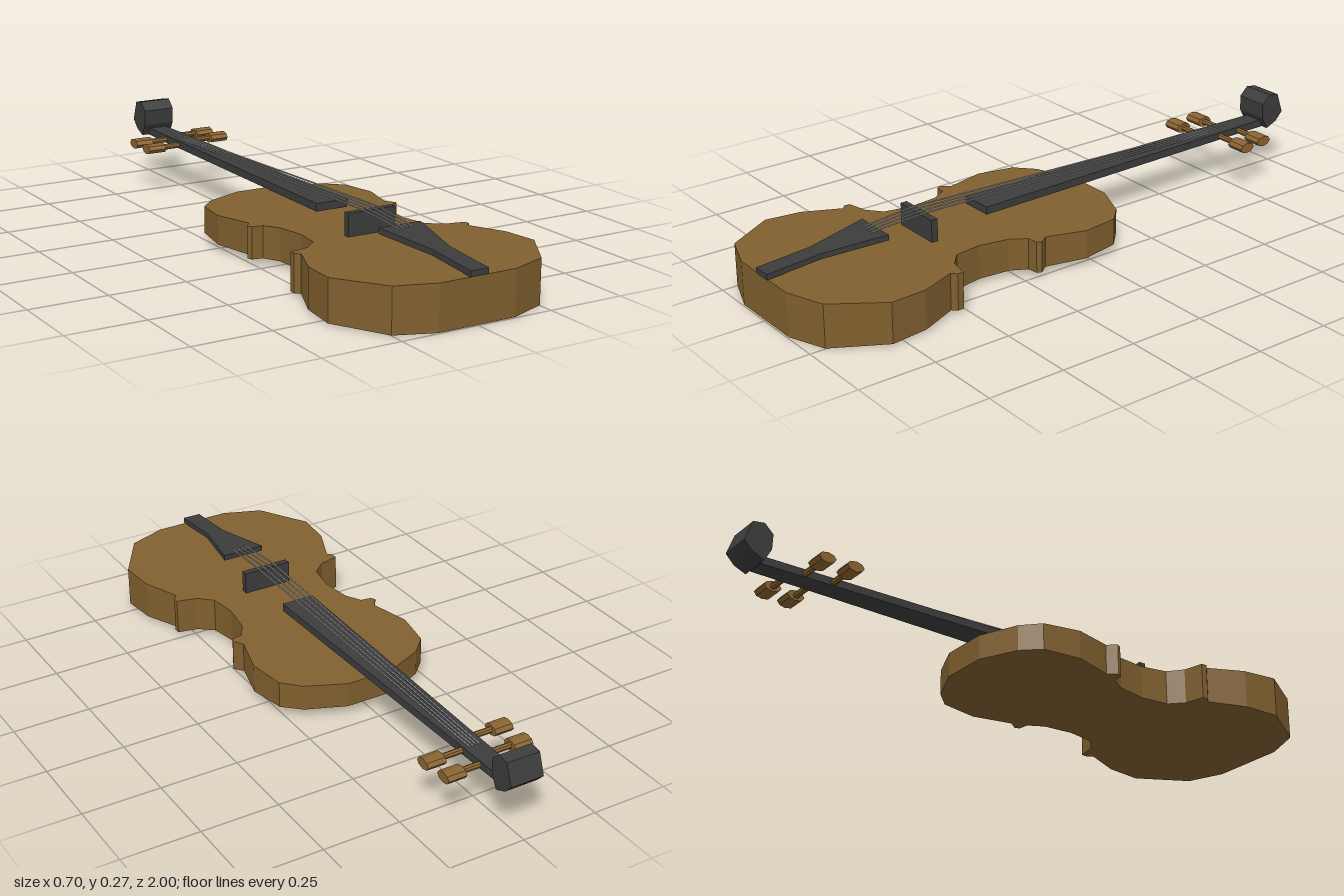
import * as THREE from 'three';

const mat = (color) => new THREE.MeshStandardMaterial({ color, flatShading: true });
const wood = mat(0x80602f);
const pegWood = mat(0x8a6330);
const ebony = mat(0x3c3c3c);
const steel = mat(0xaaaaaa);

function add(parent, name, geometry, material) {
  const mesh = new THREE.Mesh(geometry, material);
  mesh.name = name;
  parent.add(mesh);
  return mesh;
}

// Plate mirrored in x from half-outline points [x, z]; top and bottom heights follow z.
function slab(half, top, bottom) {
  const mirrored = half.map(([x, z]) => [-x, z]).reverse();
  const shape = new THREE.Shape([...half, ...mirrored].map(([x, z]) => new THREE.Vector2(x, z)));
  const geo = new THREE.ExtrudeGeometry(shape, { depth: 1, bevelEnabled: false });
  geo.rotateX(Math.PI / 2);
  const p = geo.attributes.position;
  for (let i = 0; i < p.count; i++) {
    const z = p.getZ(i);
    p.setY(i, p.getY(i) > -0.5 ? top(z) : bottom(z));
  }
  geo.computeVertexNormals();
  return geo;
}

// Straight rod between two points
function rod(a, b, radius, sides) {
  const dir = b.clone().sub(a);
  const geo = new THREE.CylinderGeometry(radius, radius, dir.length(), sides);
  geo.applyQuaternion(new THREE.Quaternion().setFromUnitVectors(new THREE.Vector3(0, 1, 0), dir.normalize()));
  const mid = a.clone().add(b).multiplyScalar(0.5);
  return geo.translate(mid.x, mid.y, mid.z);
}

export function createModel() {
  const model = new THREE.Group();
  model.name = 'violin';

  // Sound box, thinner towards the neck
  const outline = [
    [0.128, 0.995], [0.25, 0.95], [0.35, 0.79], [0.34, 0.67], [0.29, 0.55], [0.305, 0.535],
    [0.305, 0.515], [0.24, 0.5], [0.195, 0.46], [0.181, 0.37], [0.195, 0.27], [0.225, 0.22],
    [0.26, 0.215], [0.267, 0.2], [0.245, 0.17], [0.28, 0.04], [0.26, -0.085], [0.205, -0.14], [0.08, -0.195],
  ];
  const taper = (z) => (1 - z) / 1.195;
  add(model, 'body', slab(outline, (z) => 0.141 - 0.028 * taper(z), (z) => 0.032 * taper(z)), wood);

  // Neck and fingerboard
  const neck = [[0.055, 0.25], [0.031, -0.93]];
  add(model, 'fingerboard', slab(neck, () => 0.174, () => 0.149), ebony);

  // Scroll, a faceted block at the end of the neck
  const side = [[-0.908, 0.24], [-0.938, 0.268], [-0.976, 0.262], [-1, 0.195], [-0.972, 0.166], [-0.932, 0.149], [-0.91, 0.19]];
  const scrollShape = new THREE.Shape(side.map(([z, y]) => new THREE.Vector2(-z, y)));
  const scroll = new THREE.ExtrudeGeometry(scrollShape, { depth: 0.11, bevelEnabled: false });
  scroll.translate(0, 0, -0.055).rotateY(Math.PI / 2);
  add(model, 'scroll', scroll, ebony);

  // Tailpiece, rising towards the bridge
  const tail = [[0.03, 1], [0.03, 0.82], [0.072, 0.615]];
  const tailTop = (z) => (z > 0.9 ? 0.16 : z > 0.7 ? 0.174 : 0.191);
  add(model, 'tailpiece', slab(tail, tailTop, (z) => tailTop(z) - 0.018), ebony);

  // Bridge
  add(model, 'bridge', new THREE.BoxGeometry(0.164, 0.075, 0.022).translate(0, 0.1625, 0.46), ebony);

  // Tuning pegs: [side, z, outer x]
  for (const [s, z, end] of [[-1, -0.785, 0.16], [-1, -0.69, 0.16], [1, -0.82, 0.155], [1, -0.735, 0.166]]) {
    const peg = new THREE.Group();
    peg.name = 'tuningPeg';
    peg.position.set(0, 0.16, z);
    const shaft = rod(new THREE.Vector3(0, 0, 0), new THREE.Vector3(s * (end - 0.05), 0, 0), 0.01, 8);
    add(peg, 'pegShaft', shaft, pegWood);
    const head = new THREE.CylinderGeometry(1, 1, 0.062, 8);
    head.rotateZ(Math.PI / 2).scale(1, 0.017, 0.029).translate(s * (end - 0.031), 0, 0);
    head.computeVertexNormals();
    add(peg, 'pegHead', head, pegWood);
    model.add(peg);
  }

  // Strings from the tailpiece over the bridge to the peg area
  for (let i = 0; i < 4; i++) {
    const k = i - 1.5;
    const path = [
      new THREE.Vector3(k * 0.016, 0.19, 0.645),
      new THREE.Vector3(k * 0.02, 0.203, 0.46),
      new THREE.Vector3(k * 0.011, 0.174, -0.75),
    ];
    const string = new THREE.Group();
    string.name = 'string';
    add(string, 'stringTail', rod(path[0], path[1], 0.0028, 6), steel);
    add(string, 'stringSpan', rod(path[1], path[2], 0.0028, 6), steel);
    model.add(string);
  }
  return model;
}
